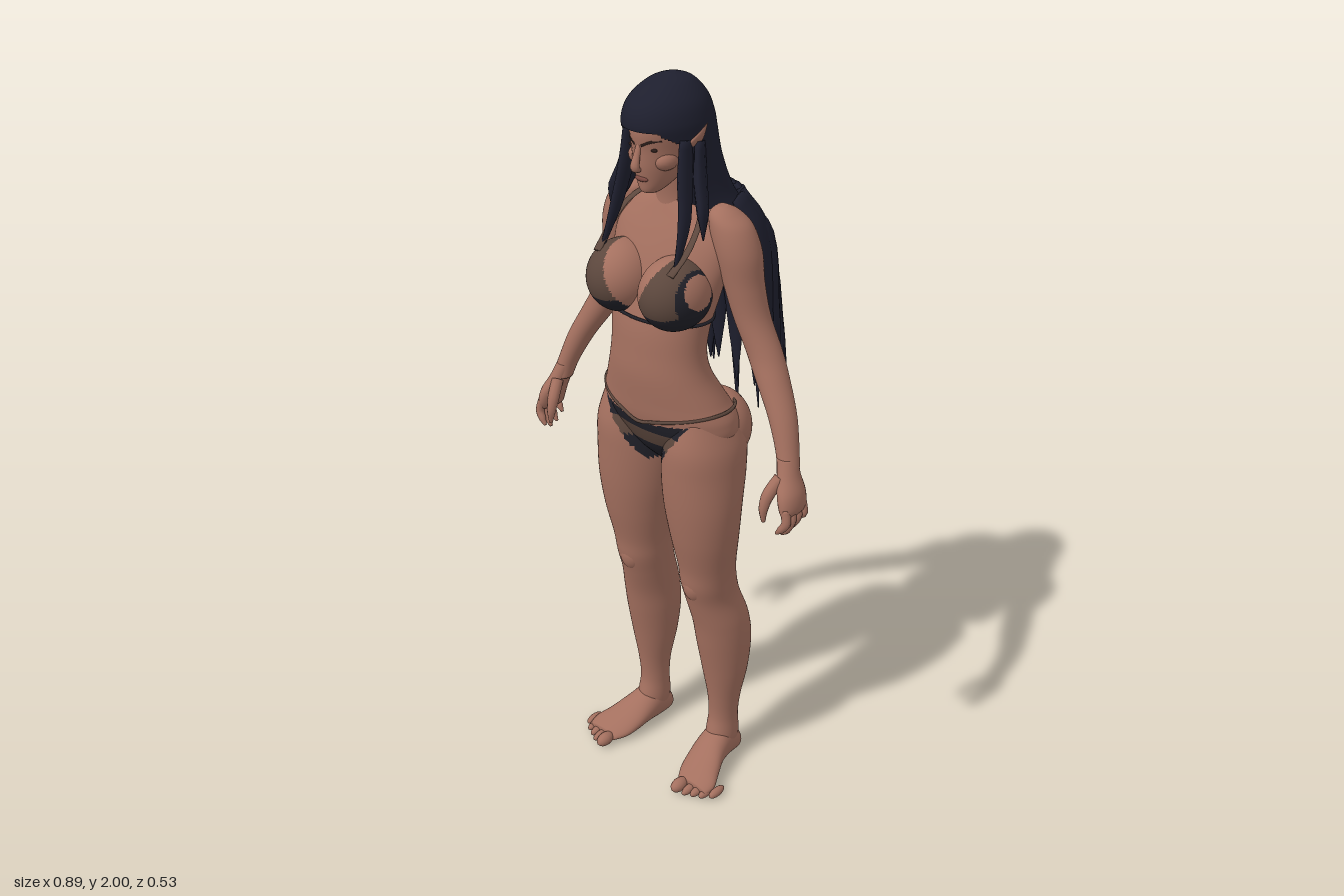
import * as THREE from 'three';

const mat = (name, color, side = THREE.FrontSide) => {
  const m = new THREE.MeshStandardMaterial({ color, side });
  m.name = name;
  return m;
};
const V = (p) => new THREE.Vector3(...p);

// Closed skin over equal-length rings, with capped ends
function skin(rings) {
  const n = rings[0].length, pos = [], idx = [];
  rings.forEach((r) => r.forEach((p) => pos.push(p.x, p.y, p.z)));
  for (let i = 0; i < rings.length - 1; i++) for (let j = 0; j < n; j++) {
    const a = i * n + j, b = i * n + (j + 1) % n;
    idx.push(a, b, b + n, a, b + n, a + n);
  }
  [rings[0], rings[rings.length - 1]].forEach((r, e) => {
    const c = r.reduce((s, p) => s.add(p), new THREE.Vector3()).divideScalar(n);
    const k = pos.length / 3, o = e ? (rings.length - 1) * n : 0;
    pos.push(c.x, c.y, c.z);
    for (let j = 0; j < n; j++) {
      const a = o + j, b = o + (j + 1) % n;
      if (e) idx.push(k, a, b); else idx.push(k, b, a);
    }
  });
  const g = new THREE.BufferGeometry();
  g.setAttribute('position', new THREE.Float32BufferAttribute(pos, 3));
  g.setIndex(idx);
  g.computeVertexNormals();
  return g;
}

// Smooth loft through level sections [y, x0, x1, z0, z1], bottom to top
function loft(sec, seg = 40, sub = 7) {
  const rings = [], at = (i) => sec[Math.max(0, Math.min(sec.length - 1, i))];
  for (let k = 0; k <= (sec.length - 1) * sub; k++) {
    const i = Math.min(Math.floor(k / sub), sec.length - 2), t = k / sub - i;
    const [y, x0, x1, z0, z1] = sec[0].map((_, c) => {
      const [a, b, d, e] = [at(i - 1)[c], at(i)[c], at(i + 1)[c], at(i + 2)[c]];
      return b + 0.5 * t * (d - a + t * (2 * a - 5 * b + 4 * d - e + t * (3 * (b - d) + e - a)));
    });
    rings.push(Array.from({ length: seg }, (_, j) => {
      const a = j / seg * Math.PI * 2;
      return new THREE.Vector3((x0 + x1) / 2 + (x1 - x0) / 2 * Math.sin(a), y, (z0 + z1) / 2 + (z1 - z0) / 2 * Math.cos(a));
    }));
  }
  return skin(rings);
}
const sym = (sec) => sec.map(([y, w, z0, z1]) => [y, -w, w, z0, z1]);

// Tapered strand: width runs along `across`, thickness at right angles to it
function strand(points, widths, flat = 1, across = [1, 0, 0], rows = 14, seg = 10) {
  const curve = new THREE.CatmullRomCurve3(points.map(V)), rings = [];
  for (let i = 0; i <= rows; i++) {
    const t = i / rows, f = t * (widths.length - 1), k = Math.min(Math.floor(f), widths.length - 2);
    const w = THREE.MathUtils.lerp(widths[k], widths[k + 1], f - k);
    const p = curve.getPoint(t), tan = curve.getTangent(t);
    const side = V(across).addScaledVector(tan, -V(across).dot(tan)).normalize();
    const nrm = tan.clone().cross(side);
    rings.push(Array.from({ length: seg }, (_, j) => {
      const a = j / seg * Math.PI * 2;
      return p.clone().addScaledVector(side, w * Math.cos(a)).addScaledVector(nrm, w * flat * Math.sin(a));
    }));
  }
  return skin(rings);
}
const ball = (c, r, seg = 32) => new THREE.SphereGeometry(1, seg, seg * 0.75).scale(...r).translate(...c);

// Sort triangles into material groups by centroid; a rule of -1 removes the triangle
function paint(g, rule, count) {
  const lists = Array.from({ length: count }, () => []), p = g.attributes.position, ix = g.index.array;
  for (let i = 0; i < ix.length; i += 3) {
    const t = [ix[i], ix[i + 1], ix[i + 2]];
    const mean = (f) => (f(t[0]) + f(t[1]) + f(t[2])) / 3;
    const m = rule(Math.abs(mean((k) => p.getX(k))), mean((k) => p.getY(k)), mean((k) => p.getZ(k)));
    if (m >= 0) lists[m].push(...t);
  }
  g.setIndex(lists.flat());
  g.clearGroups();
  let start = 0;
  lists.forEach((l, m) => { if (l.length) g.addGroup(start, l.length, m); start += l.length; });
  return g;
}
function mirror(g) {
  const m = g.clone().scale(-1, 1, 1), a = m.index.array;
  for (let i = 0; i < a.length; i += 3) [a[i + 1], a[i + 2]] = [a[i + 2], a[i + 1]];
  m.computeVertexNormals();
  return m;
}

export function createModel() {
  const root = new THREE.Group();
  const flesh = mat('skin', 0xa4705f), hair = mat('hair', 0x1e1f2e, THREE.DoubleSide);
  const dark = mat('dark cloth', 0x202028), brown = mat('brown cloth', 0x5c473d);
  const lip = mat('lips', 0x7c4a42), eye = mat('eyes', 0x2a1d1a);
  const cloth = [flesh, dark, brown];
  const add = (name, g, m) => { const o = new THREE.Mesh(g, m); o.name = name; root.add(o); };
  const pair = (name, g, m) => { add(name + 'Left', g, m); add(name + 'Right', mirror(g), m); };

  // Swimwear regions
  const brief = (x, y, z) => {
    if (y < 0.995) return 0;
    if (z > 0.08) return y < 1.135 + 0.12 * x && x < 0.03 + (y - 1.0) * 0.72 ? (y > 1.065 && y < 1.11 ? 2 : 1) : 0;
    return y < 1.17 && x < 0.025 + (y - 1.0) * 0.72 ? (y > 1.14 ? 2 : 1) : 0;
  };
  const cup = (x, y, z) => {
    const t = (y - 1.42) / 0.19;
    if (z < 0.12 || x < 0.015 + 0.085 * t || x > 0.185 - 0.05 * t) return 0;
    return y < 1.462 + 3 * (x - 0.09) ** 2 || x > 0.155 - 0.02 * t ? 1 : 2;
  };

  // Torso, neck and head
  add('torso', paint(loft(sym([
    [0.985, 0.03, 0.05, 0.12], [1.04, 0.12, -0.01, 0.17], [1.1, 0.195, -0.025, 0.2], [1.15, 0.202, -0.025, 0.214],
    [1.2, 0.18, 0.0, 0.22], [1.27, 0.15, 0.035, 0.226], [1.33, 0.138, 0.045, 0.224], [1.4, 0.142, 0.035, 0.218],
    [1.48, 0.158, 0.015, 0.2], [1.56, 0.172, -0.002, 0.175], [1.62, 0.165, -0.005, 0.15], [1.67, 0.125, 0.0, 0.125],
    [1.7, 0.075, 0.01, 0.11], [1.72, 0.045, 0.02, 0.1]]), 96, 9), brief, 3), cloth);
  add('neck', loft(sym([[1.64, 0.07, 0.0, 0.12], [1.7, 0.053, 0.005, 0.115], [1.76, 0.047, 0.0, 0.12], [1.83, 0.047, 0.0, 0.12]])), flesh);
  add('head', loft(sym([[1.733, 0.014, 0.145, 0.172], [1.74, 0.026, 0.115, 0.183], [1.765, 0.045, 0.07, 0.188], [1.8, 0.06, 0.02, 0.194],
    [1.84, 0.069, -0.01, 0.196], [1.89, 0.074, -0.02, 0.2], [1.94, 0.068, -0.01, 0.18], [1.975, 0.04, 0.03, 0.13]]), 48), flesh);

  // Face
  add('nose', strand([[0, 1.865, 0.19], [0, 1.83, 0.202], [0, 1.803, 0.208], [0, 1.795, 0.196]], [0.006, 0.009, 0.013, 0.008], 0.8), flesh);
  add('lips', ball([0, 1.772, 0.187], [0.02, 0.007, 0.007], 16), lip);
  pair('eye', ball([0.031, 1.846, 0.18], [0.013, 0.005, 0.006], 16), eye);
  pair('brow', strand([[0.01, 1.856, 0.197], [0.03, 1.866, 0.188], [0.05, 1.868, 0.169]], [0.003, 0.004, 0.002], 0.8, [0, 1, 0]), eye);
  pair('cheek', ball([0.04, 1.815, 0.145], [0.026, 0.024, 0.034], 16), flesh);
  pair('ear', strand([[0.07, 1.835, 0.115], [0.092, 1.855, 0.112], [0.108, 1.877, 0.104], [0.12, 1.908, 0.092]], [0.012, 0.02, 0.014, 0.001], 0.35, [0, 0.3, 1]), flesh);

  // Chest and seat
  pair('breast', paint(ball([0.086, 1.5, 0.167], [0.085, 0.092, 0.098], 72), cup, 3), cloth);
  pair('buttock', paint(ball([0.1, 1.09, 0.035], [0.097, 0.105, 0.094], 64), brief, 3), cloth);

  // Legs and feet
  pair('leg', paint(loft([
    [0.02, 0.1, 0.165, -0.01, 0.07], [0.08, 0.09, 0.175, -0.022, 0.085], [0.15, 0.092, 0.172, -0.018, 0.072], [0.22, 0.088, 0.178, -0.025, 0.075],
    [0.32, 0.07, 0.195, -0.045, 0.09], [0.42, 0.058, 0.203, -0.055, 0.108], [0.5, 0.055, 0.2, -0.045, 0.122], [0.58, 0.05, 0.186, -0.02, 0.142],
    [0.64, 0.045, 0.188, -0.005, 0.158], [0.7, 0.04, 0.195, 0.005, 0.165], [0.8, 0.024, 0.212, 0.006, 0.186], [0.9, 0.01, 0.222, 0.0, 0.2],
    [1.0, 0.005, 0.222, -0.018, 0.206], [1.08, 0.018, 0.215, -0.02, 0.205], [1.16, 0.05, 0.185, 0.02, 0.185]], 56, 8), brief, 3), cloth);
  pair('kneecap', ball([0.115, 0.64, 0.125], [0.038, 0.05, 0.036], 20), flesh);
  pair('foot', loft([[-0.026, 0.115, 0.15, -0.055, -0.015], [-0.01, 0.096, 0.17, -0.08, -0.001], [0.04, 0.09, 0.178, -0.115, 0],
    [0.09, 0.09, 0.19, -0.1, -0.006], [0.14, 0.095, 0.212, -0.07, -0.003], [0.18, 0.105, 0.23, -0.05, 0],
    [0.215, 0.125, 0.225, -0.034, -0.004]]).rotateX(Math.PI / 2), flesh);
  for (let i = 0; i < 5; i++) {
    const r = i ? 0.0125 : 0.019;
    pair('toe' + (i + 1), ball([0.145 + 0.022 * i + (i ? 0.006 : 0), r + 0.002, 0.232 - 0.011 * i - (i > 3 ? 0.008 : 0)], [r, r, 0.03], 14), flesh);
  }

  // Arms and hands
  pair('arm', loft([
    [1.09, 0.362, 0.418, 0.072, 0.128], [1.14, 0.347, 0.404, 0.056, 0.117], [1.22, 0.305, 0.378, 0.032, 0.104], [1.3, 0.25, 0.338, 0.01, 0.092],
    [1.36, 0.213, 0.307, 0.0, 0.085], [1.44, 0.175, 0.268, -0.002, 0.09], [1.52, 0.15, 0.25, -0.002, 0.1], [1.6, 0.125, 0.241, -0.005, 0.11],
    [1.66, 0.11, 0.216, 0.003, 0.107], [1.69, 0.11, 0.18, 0.02, 0.095], [1.705, 0.125, 0.15, 0.045, 0.07]]), flesh);
  pair('palm', loft([[0.995, 0.405, 0.435, 0.075, 0.155], [1.015, 0.397, 0.443, 0.07, 0.163], [1.05, 0.384, 0.438, 0.068, 0.158],
    [1.09, 0.368, 0.42, 0.07, 0.136], [1.13, 0.355, 0.405, 0.065, 0.12]], 24), flesh);
  for (let i = 0; i < 4; i++) {
    const z = 0.084 + 0.022 * i, low = [0.965, 0.945, 0.938, 0.95][i];
    pair('finger' + (i + 1), strand([[0.422, 1.02, z], [0.43, 0.985, z + 0.004], [0.418, low + 0.015, z + 0.008], [0.405, low, z + 0.01]], [0.012, 0.012, 0.01, 0.004]), flesh);
  }
  pair('thumb', strand([[0.385, 1.085, 0.125], [0.373, 1.045, 0.155], [0.37, 1.01, 0.168], [0.372, 0.975, 0.17]], [0.016, 0.016, 0.012, 0.005]), flesh);

  // Straps
  const ringAt = (y, w, zc, rz, lift) => new THREE.TubeGeometry(new THREE.CatmullRomCurve3(Array.from({ length: 24 }, (_, i) => {
    const a = i / 24 * Math.PI * 2;
    return new THREE.Vector3(w * Math.sin(a), y + lift * Math.abs(Math.sin(a)), zc + rz * Math.cos(a));
  }), true), 72, 0.0045, 6, true);
  add('hipString', ringAt(1.14, 0.193, 0.097, 0.121, 0.045), brown);
  add('chestString', ringAt(1.425, 0.148, 0.122, 0.095, 0.0), dark);
  pair('shoulderStrap', strand([[0.118, 1.57, 0.222], [0.125, 1.62, 0.165], [0.115, 1.67, 0.115], [0.08, 1.705, 0.06], [0.03, 1.71, 0.0]], [0.012, 0.009, 0.008, 0.006], 0.35), brown);

  // Scalp hair, open over the face
  add('hairCap', paint(loft(sym([
    [1.6, 0.15, -0.125, 0.06], [1.66, 0.138, -0.1, 0.085], [1.72, 0.118, -0.068, 0.115], [1.8, 0.106, -0.045, 0.17], [1.87, 0.102, -0.034, 0.206],
    [1.91, 0.099, -0.025, 0.212], [1.95, 0.084, -0.008, 0.192], [1.985, 0.05, 0.025, 0.142], [2.0, 0.012, 0.065, 0.09]]), 96, 12),
    (x, y, z) => (y < 1.892 - 0.9 * Math.max(0, x - 0.055) && z > 0.125 - 0.3 * Math.max(0, 1.8 - y) ? -1 : 0), 1), [hair]);

  // Long back locks: an inner sheet, an outer fan and loose tips
  const fan = (name, n, spread, reach, root0, tip, width) => {
    for (let i = 0; i < n; i++) {
      const u = n > 1 ? i / (n - 1) * 2 - 1 : 0, s = Math.sin(u * spread), c = Math.cos(u * spread);
      const end = tip + 0.2 * Math.abs(u) + 0.045 * Math.sin(i * 2.4), k = reach;
      const mid = (root0 + end) / 2;
      add(name + (i + 1), strand([[0.125 * s, root0, -0.005 - 0.085 * c], [0.165 * s, mid + 0.12, -0.02 - 0.12 * k * c - 0.02 * k],
        [0.195 * s, mid - 0.08, -0.03 - 0.17 * k * c], [0.21 * s, end, -0.03 - 0.19 * k * c]],
      [width * 0.8, width, width, width * 0.75, 0.002], 0.4, [c, 0, s]), hair);
    }
  };
  fan('innerLock', 11, 1.45, 0.75, 1.7, 1.12, 0.034);
  fan('outerLock', 9, 1.25, 1.15, 1.68, 1.06, 0.03);
  fan('looseLock', 7, 0.95, 1.25, 1.64, 0.94, 0.018);

  // Locks falling in front of the shoulders
  pair('frontLock', strand([[0.088, 1.87, 0.13], [0.093, 1.78, 0.14], [0.108, 1.68, 0.16], [0.12, 1.55, 0.215]], [0.02, 0.024, 0.02, 0.003], 0.55, [0, 0.3, 1]), hair);
  pair('sideLock', strand([[0.094, 1.86, 0.09], [0.11, 1.77, 0.105], [0.135, 1.7, 0.125], [0.145, 1.64, 0.135]], [0.025, 0.032, 0.028, 0.003], 0.5, [0.6, 0, 1]), hair);
  return root;
}
